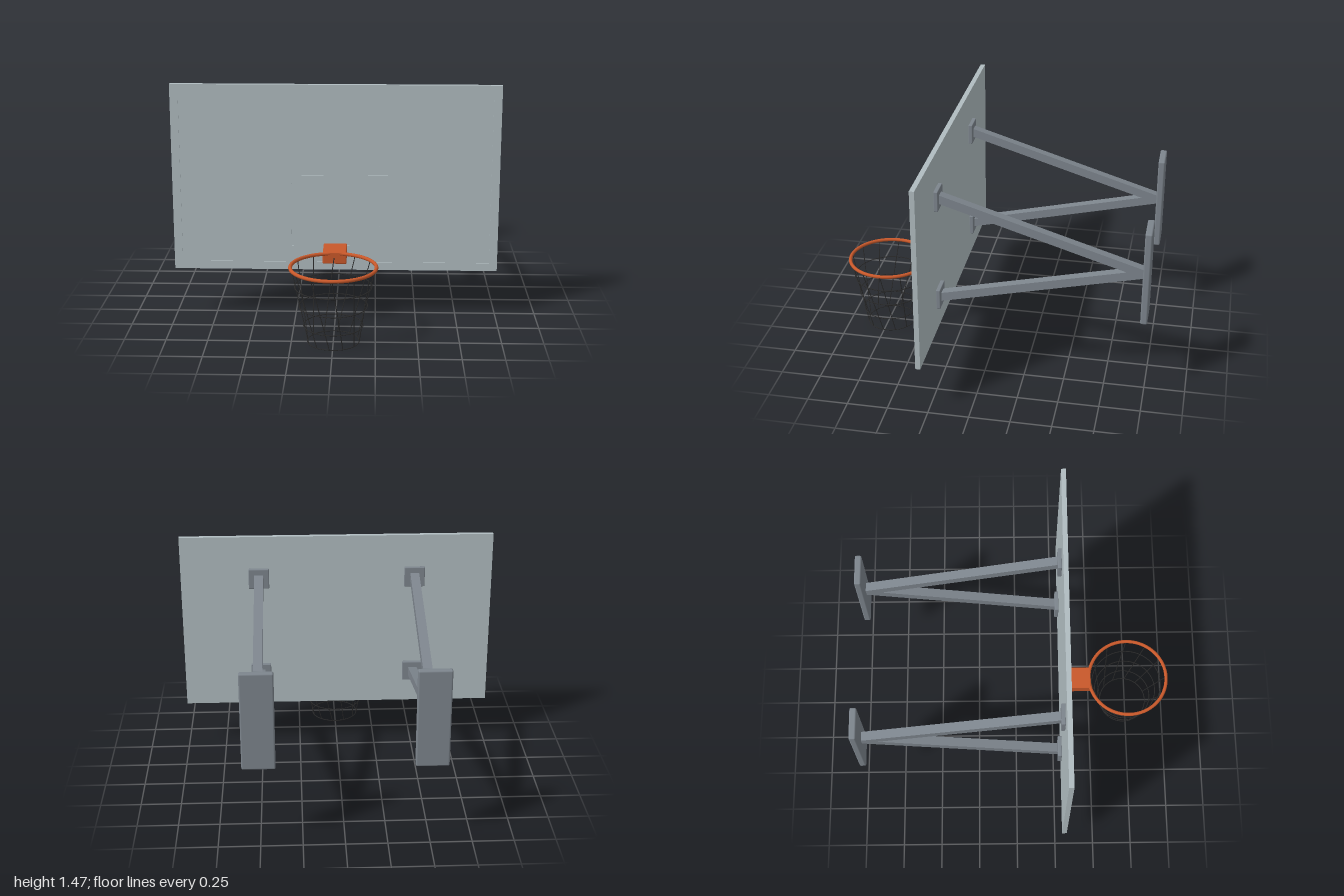
import * as THREE from 'three';
import { RoundedBoxGeometry } from 'three/addons/geometries/RoundedBoxGeometry.js';

export function createModel() {
  const model = new THREE.Group();
  model.name = 'basketballHoop';

  const mat = (name, color) => {
    const m = new THREE.MeshStandardMaterial({ color });
    m.name = name;
    return m;
  };
  const boardGrey = mat('board grey', 0xb0bcc0);
  const steel = mat('steel grey', 0x7d858d);
  const orange = mat('rim orange', 0xc8582a);
  const cord = mat('net cord', 0x2a2a2a);

  const add = (name, geometry, material, x = 0, y = 0, z = 0, parent = model) => {
    const mesh = new THREE.Mesh(geometry, material);
    mesh.name = name;
    mesh.position.set(x, y, z);
    parent.add(mesh);
    return mesh;
  };

  // Backboard
  const bottom = 0.305, top = 1.47, back = 0.287, front = 0.313;
  add('backboard', new THREE.BoxGeometry(2, top - bottom, front - back), boardGrey,
    0, (top + bottom) / 2, (front + back) / 2);

  // Slightly raised rectangular outlines on the board face
  const outline = (name, halfW, y0, y1, w) => {
    const rect = (o, hw, a, b) => o.moveTo(-hw, a).lineTo(hw, a).lineTo(hw, b).lineTo(-hw, b).closePath();
    const shape = rect(new THREE.Shape(), halfW, y0, y1);
    shape.holes.push(rect(new THREE.Path(), halfW - w, y0 + w, y1 - w));
    add(name, new THREE.ExtrudeGeometry(shape, { depth: 0.004, bevelEnabled: false }),
      boardGrey, 0, 0, front);
  };
  outline('boardBorder', 1, bottom, top, 0.05);
  outline('targetRectangle', 0.32, 0.41, 0.91, 0.05);

  // Wall brackets: wall plate, two sloping arms and their board plates
  const armFront = 0.266, armBack = -0.962, joinY = 0.815;
  const length = armFront - armBack;
  for (const side of [-1, 1]) {
    const bracket = new THREE.Group();
    bracket.name = side > 0 ? 'leftWallBracket' : 'rightWallBracket';
    bracket.position.x = side * 0.5;
    model.add(bracket);
    add('wallPlate', new RoundedBoxGeometry(0.196, 0.605, 0.042, 2, 0.01), steel,
      0, 0.815, -0.979, bracket);
    for (const [label, y] of [['upper', 1.193], ['lower', 0.527]]) {
      // The box is sheared so that both ends stay upright
      const arm = new THREE.BoxGeometry(0.057, 0.056, length);
      const p = arm.attributes.position;
      const slope = (y - joinY) / length;
      for (let i = 0; i < p.count; i++) p.setY(i, p.getY(i) + slope * p.getZ(i));
      arm.computeVertexNormals();
      add(label + 'Arm', arm, steel, 0, (y + joinY) / 2, (armFront + armBack) / 2, bracket);
      add(label + 'BoardPlate', new RoundedBoxGeometry(0.131, 0.131, 0.026, 2, 0.005), steel,
        0, y, 0.275, bracket);
    }
  }

  // Rim and its mount
  const hoop = new THREE.Group();
  hoop.name = 'hoop';
  hoop.position.z = 0.735;
  model.add(hoop);
  const rimY = 0.463, rimR = 0.254;
  add('rim', new THREE.TorusGeometry(rimR, 0.011, 12, 64).rotateX(Math.PI / 2), orange,
    0, rimY, 0, hoop);
  add('rimMount', new RoundedBoxGeometry(0.144, 0.074, 0.182, 2, 0.006), orange, 0, 0.438, 0.402);

  // Net: horizontal rings and twelve twisted straight cords
  const net = new THREE.Group();
  net.name = 'net';
  hoop.add(net);
  const cordR = 0.0028, bottomR = 0.155;
  for (const [y, r] of [[0.345, 0.229], [0.225, 0.203], [0.103, 0.177], [cordR, bottomR]]) {
    add('netRing', new THREE.TorusGeometry(r, cordR, 6, 48).rotateX(Math.PI / 2), cord, 0, y, 0, net);
  }
  const at = (r, a, y) => new THREE.Vector3(r * Math.cos(a), y, r * Math.sin(a));
  const twist = 0.4;
  for (let i = 0; i < 12; i++) {
    const a = (i * Math.PI) / 6;
    const line = new THREE.LineCurve3(at(rimR - 0.004, a, rimY), at(bottomR, a - twist, cordR));
    add('netCord', new THREE.TubeGeometry(line, 1, cordR, 6), cord, 0, 0, 0, net);
  }
  return model;
}
